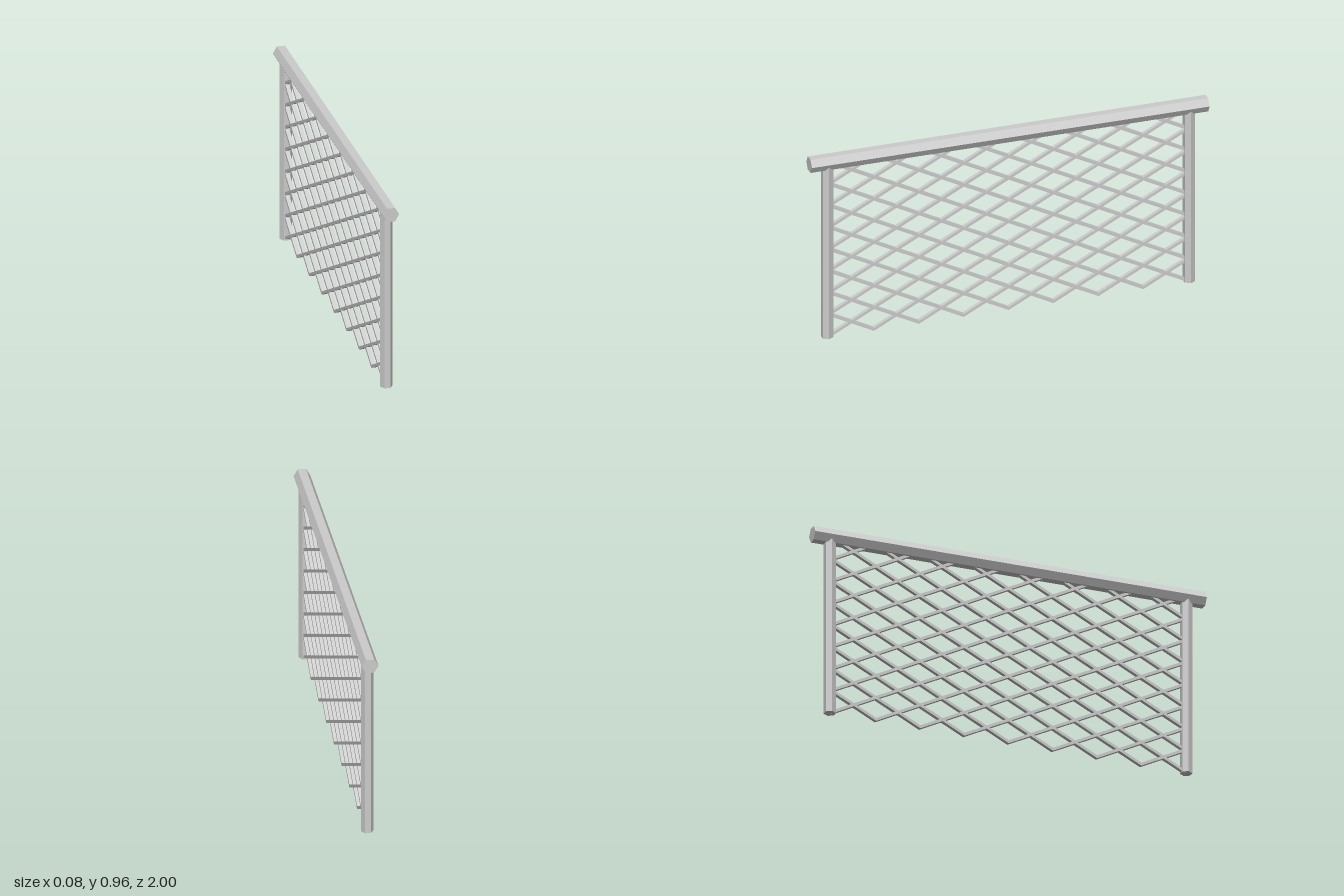
import * as THREE from 'three';

const material = new THREE.MeshStandardMaterial({ color: 0xcccccc, flatShading: true });

// Hexagonal bar along y, with two of its edges at +x and -x
function hexBar(radius, length) {
  return new THREE.CylinderGeometry(radius, radius, length, 6).rotateY(Math.PI / 2);
}

// Sloped flat slat: sheared so that its ends are cut upright and meet in clean mitres
function slat(width, thickness, span, slope) {
  const geometry = new THREE.BoxGeometry(width, thickness * Math.hypot(1, slope), span);
  const p = geometry.attributes.position;
  for (let i = 0; i < p.count; i++) p.setY(i, p.getY(i) + slope * p.getZ(i));
  geometry.computeVertexNormals();
  return geometry;
}

function addMesh(parent, name, geometry, x, y, z) {
  const mesh = new THREE.Mesh(geometry, material);
  mesh.name = name;
  mesh.position.set(x, y, z);
  parent.add(mesh);
}

export function createModel() {
  const model = new THREE.Group();
  model.name = 'latticeFence';

  // Top rail
  const railY = 0.925;
  addMesh(model, 'topRail', hexBar(0.04, 2).rotateX(Math.PI / 2), 0, railY, 0);

  // End posts
  const postBottom = 0.003;
  for (const side of [1, -1]) {
    addMesh(model, side > 0 ? 'frontPost' : 'backPost',
      hexBar(0.03, railY - postBottom), 0, (railY + postBottom) / 2, side * 0.91);
  }

  // Diamond lattice: two mirrored sets of parallel slats between the posts
  const lattice = new THREE.Group();
  lattice.name = 'lattice';
  model.add(lattice);
  const half = 0.903, bottom = 0.008, cells = 8;
  const pitch = 2 * half / cells;
  const slope = (railY - bottom) / (2 * half);
  for (const dir of [1, -1]) {
    for (let k = 1 - cells; k < cells; k++) {
      const foot = -half + k * pitch;
      const start = Math.max(-half, foot);
      const end = Math.min(half, foot + 2 * half);
      const mid = (start + end) / 2;
      addMesh(lattice, dir > 0 ? 'risingSlat' : 'fallingSlat',
        slat(0.02, 0.014, end - start, dir * slope),
        0, bottom + slope * (mid - foot), dir * mid);
    }
  }
  return model;
}
